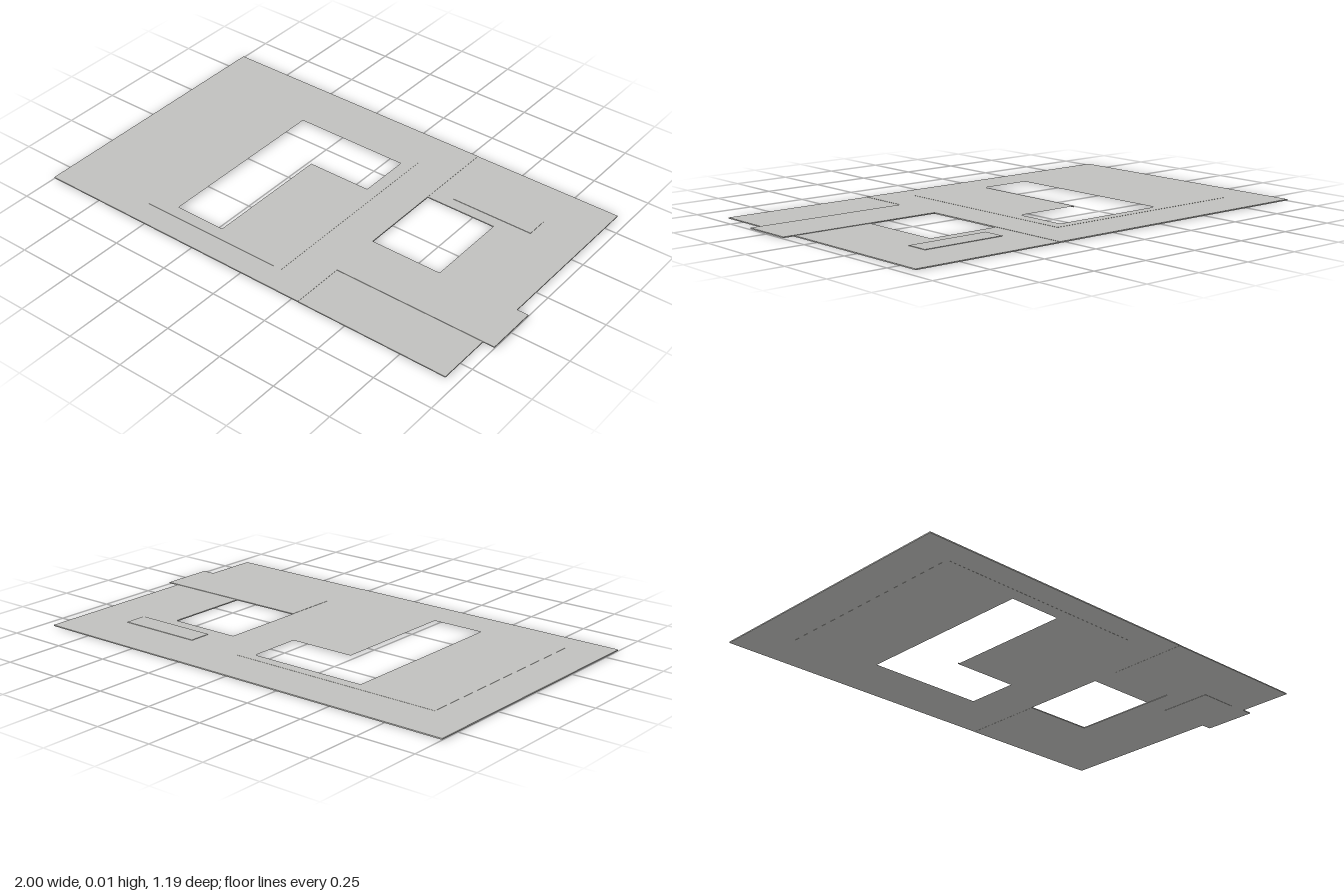
import * as THREE from 'three';

export function createModel() {
  const group = new THREE.Group();
  const concrete = new THREE.MeshStandardMaterial({ color: 0xc0c0bd });
  concrete.name = 'concrete grey';

  const trace = (target, points) => {
    points.forEach(([x, z], i) => (i ? target.lineTo(x, -z) : target.moveTo(x, -z)));
    target.closePath();
    return target;
  };
  const rect = (x0, x1, z0, z1) => [[x0, z0], [x1, z0], [x1, z1], [x0, z1]];

  // Flat slab with an outline in x and z, standing between two heights
  function slab(name, outline, bottom, top, hole) {
    const shape = trace(new THREE.Shape(), outline);
    if (hole) shape.holes.push(trace(new THREE.Path(), hole));
    const geometry = new THREE.ExtrudeGeometry(shape, { depth: top - bottom, bevelEnabled: false });
    geometry.rotateX(-Math.PI / 2).translate(0, bottom, 0);
    const mesh = new THREE.Mesh(geometry, concrete);
    mesh.name = name;
    group.add(mesh);
  }

  const opening = [
    [-0.46, -0.355], [0.06, -0.355], [0.06, -0.125],
    [-0.23, -0.125], [-0.23, 0.435], [-0.46, 0.435],
  ];

  // Large room floor and its slightly raised inner panel
  slab('largeFloor', rect(-1, 0.283, -0.595, 0.595), 0.0015, 0.0065, opening);
  slab('innerPanel', rect(-0.83, 0.115, -0.4, 0.49), 0.001, 0.0072, opening);

  // Small room floor wraps around an opening at its inner edge
  slab('smallFloor', [
    [0.283, -0.595], [0.95, -0.595], [0.95, 0.595], [0.283, 0.595],
    [0.283, 0.25], [0.6, 0.25], [0.6, -0.235], [0.283, -0.235],
  ], 0.001, 0.0055);

  // Walkway crosses the opening and projects past the edge
  slab('walkway', rect(0.283, 1, 0.135, 0.36), 0.003, 0.0075);
  slab('raisedPad', rect(0.375, 0.74, -0.38, -0.285), 0.003, 0.0075);
  slab('walkwayFoot', rect(0.71, 0.88, 0.135, 0.36), 0, 0.004);

  return group;
}
